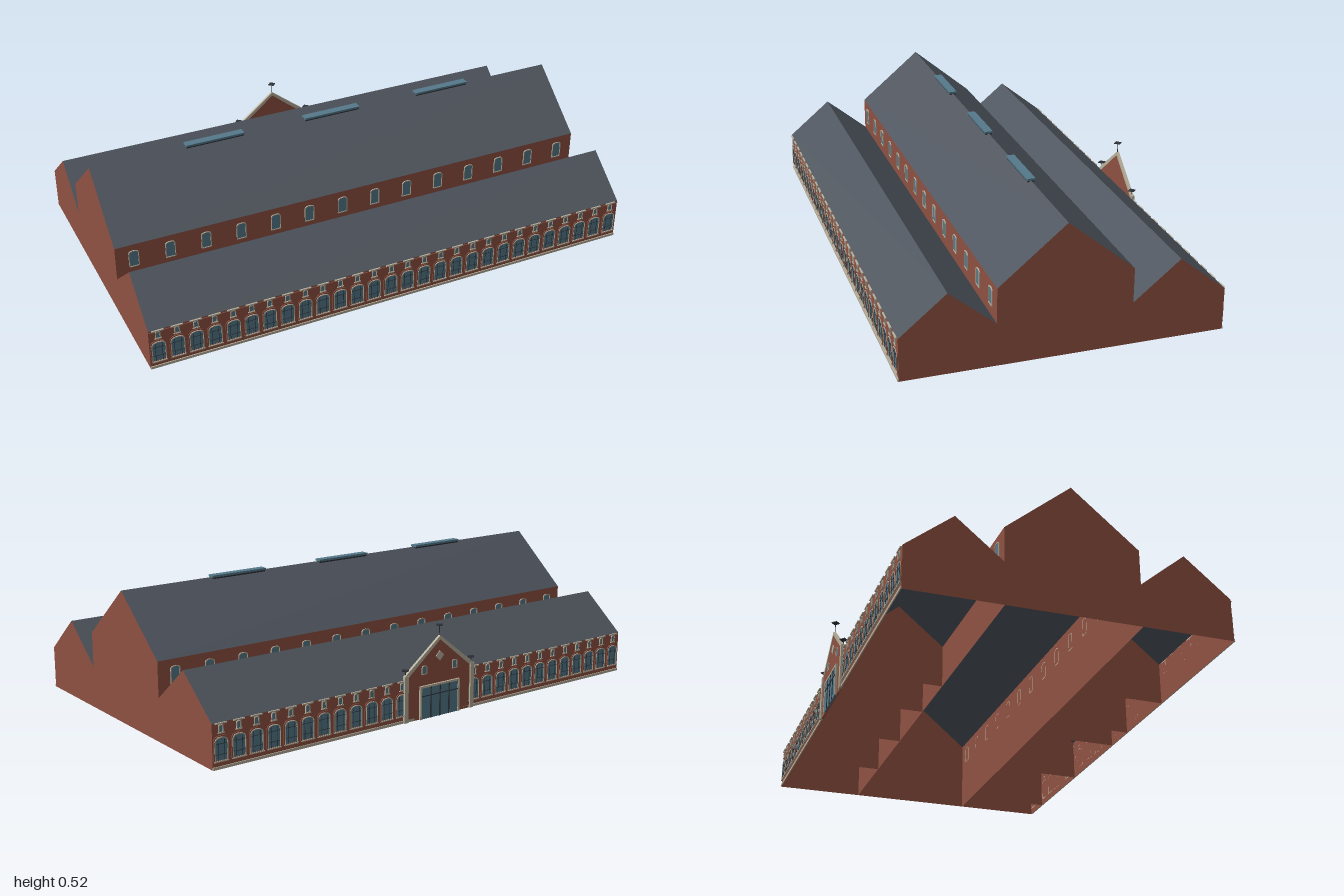
import * as THREE from 'three';
import { mergeGeometries } from 'three/addons/utils/BufferGeometryUtils.js';

const mat = (color) => new THREE.MeshStandardMaterial({ color, side: THREE.DoubleSide, flatShading: true });

// Dimensions: cross-section as [z, y], front to back
const FRONT = 0.61, BACK = -0.602, NAVE_F = 0.26, NAVE_B = -0.245, EAVE = 0.165;
const PROFILE = [
  [FRONT, EAVE], [0.435, 0.31], [NAVE_F, EAVE], [NAVE_F, 0.3], [0.007, 0.51],
  [NAVE_B, 0.3], [NAVE_B, EAVE], [-0.422, 0.31], [BACK, EAVE],
];
const BAYS = 28, PITCH = 0.0715;

export function createModel() {
  const model = new THREE.Group();
  const brick = mat(0x8f5142), slate = mat(0x50565f), stone = mat(0xb9b09c);
  const glass = mat(0x55798a), iron = mat(0x2c3036);

  const add = (parent, name, geometry, material) => {
    const mesh = new THREE.Mesh(geometry, material);
    mesh.name = name;
    parent.add(mesh);
    return mesh;
  };
  const box = (w, h, d, x, y, z) => new THREE.BoxGeometry(w, h, d).translate(x, y, z);
  const polygon = (pts) => new THREE.Shape(pts.map(([x, y]) => new THREE.Vector2(x, y)));
  const extrude = (shape, depth, x = 0, y = 0, z = 0) =>
    new THREE.ExtrudeGeometry(shape, { depth, bevelEnabled: false, curveSegments: 6 }).translate(x, y, z);

  // Flat sheet running the full length between two [z, y] points
  const sheet = ([z0, y0], [z1, y1]) => {
    const g = new THREE.PlaneGeometry(2, 1);
    const p = g.attributes.position;
    for (let i = 0; i < p.count; i++) {
      const upper = p.getY(i) > 0;
      p.setXYZ(i, p.getX(i), upper ? y1 : y0, upper ? z1 : z0);
    }
    g.computeVertexNormals();
    return g;
  };
  // Wall across the building, cut to a [z, y] outline
  const crossWall = (outline, x) =>
    new THREE.ShapeGeometry(polygon(outline.map(([z, y]) => [-z, y]))).rotateY(Math.PI / 2).translate(x, 0, 0);

  // Roof slopes
  const slopes = [[0, 1], [2, 1], [3, 4], [5, 4], [6, 7], [8, 7]];
  slopes.forEach(([a, b]) => {
    const [low, high] = [PROFILE[a], PROFILE[b]];
    add(model, 'roofSlope', low[0] > high[0] ? sheet(low, high) : sheet(high, low), slate);
  });

  // Long walls: outer ones to the eaves, nave walls to the clerestory
  add(model, 'frontWall', sheet([FRONT, 0], [FRONT, EAVE]), brick);
  add(model, 'backWall', sheet([BACK, EAVE], [BACK, 0]), brick);
  add(model, 'naveFrontWall', sheet([NAVE_F, 0], [NAVE_F, 0.3]), brick);
  add(model, 'naveBackWall', sheet([NAVE_B, 0.3], [NAVE_B, 0]), brick);

  // End walls and the partitions inside both aisles
  const endOutline = [[FRONT, 0], ...PROFILE, [BACK, 0]];
  for (const x of [-1, 1]) add(model, 'endWall', crossWall(endOutline, x), brick);
  const frontAisle = [[FRONT, 0], PROFILE[0], PROFILE[1], PROFILE[2], [NAVE_F, 0]];
  const backAisle = [[NAVE_B, 0], PROFILE[6], PROFILE[7], PROFILE[8], [BACK, 0]];
  for (const x of [0.86, 0.46, 0.05, -0.1, -0.42]) add(model, 'frontPartition', crossWall(frontAisle, x), brick);
  for (const x of [0.64, 0.29, -0.04, -0.3]) add(model, 'backPartition', crossWall(backAisle, x), brick);

  // Ridge skylights
  for (const x of [-0.5, 0, 0.5]) {
    add(model, 'skylight', box(0.24, 0.008, 0.032, x, 0.514, 0.006), glass);
    add(model, 'skylightCurb', box(0.236, 0.008, 0.026, x, 0.508, 0.006), iron);
  }

  // Arch outline: straight sides with a segmental head
  const archPath = (target, w, h, rise) => {
    target.moveTo(-w / 2, 0);
    target.lineTo(w / 2, 0);
    target.lineTo(w / 2, h - rise);
    target.quadraticCurveTo(w / 2, h, 0, h);
    target.quadraticCurveTo(-w / 2, h, -w / 2, h - rise);
    target.lineTo(-w / 2, 0);
    return target;
  };
  const archFrame = (w, h, rise, t, depth, y) => {
    const s = archPath(new THREE.Shape(), w, h, rise);
    const inner = archPath(new THREE.Shape(), w - 2 * t, h - 2 * t, rise * 0.9);
    s.holes.push(new THREE.Path(inner.getPoints(6).map((p) => p.add(new THREE.Vector2(0, t)))));
    return extrude(s, depth, 0, y);
  };
  const archPane = (w, h, rise, y) =>
    new THREE.ShapeGeometry(archPath(new THREE.Shape(), w, h, rise), 6).translate(0, y, 0.0015);

  // One bay in its own frame, facing +z
  const bay = {
    windowFrames: [stone, () => [
      archFrame(0.054, 0.086, 0.02, 0.003, 0.004, 0.028), archFrame(0.02, 0.03, 0.007, 0.003, 0.004, 0.128),
      box(0.058, 0.004, 0.006, 0, 0.028, 0.003), box(0.026, 0.003, 0.005, 0, 0.128, 0.0025)]],
    windowGlass: [glass, () => [archPane(0.05, 0.083, 0.018, 0.029), archPane(0.016, 0.026, 0.006, 0.13)]],
    glazingBars: [iron, () => [
      ...[-0.013, 0.013].map((x) => box(0.0015, 0.076, 0.002, x, 0.068, 0.002)),
      ...[0.052, 0.09].map((y) => box(0.048, 0.0015, 0.002, 0, y, 0.002))]],
    brickArches: [brick, () => [archFrame(0.062, 0.092, 0.023, 0.004, 0.003, 0.028)]],
    corniceBlocks: [stone, () => [box(0.045, 0.005, 0.006, 0, 0.1625, 0.003)]],
  };
  const buildFacade = (name, keepBay) => {
    const g = new THREE.Group();
    g.name = name;
    for (const [part, [material, make]] of Object.entries(bay)) {
      const pieces = [];
      for (let i = 0; i < BAYS; i++) {
        const x = (i - (BAYS - 1) / 2) * PITCH;
        if (!keepBay(x)) continue;
        for (const piece of make()) {
          const flat = piece.index ? piece.toNonIndexed() : piece;
          pieces.push(flat.translate(x, 0, 0));
        }
      }
      add(g, part, mergeGeometries(pieces), material);
    }
    model.add(g);
    return g;
  };
  const front = buildFacade('frontFacade', () => true);
  front.position.z = FRONT;
  add(front, 'plinth', box(2, 0.01, 0.004, 0, 0.005, 0.002), stone);
  add(front, 'eaveBand', box(2, 0.003, 0.003, 0, 0.158, 0.0015), brick);
  const back = buildFacade('backFacade', (x) => Math.abs(x) > 0.12);
  back.position.z = BACK;
  back.rotation.y = Math.PI;
  for (const s of [-1, 1]) add(back, 'plinth', box(0.88, 0.01, 0.004, s * 0.56, 0.005, 0.002), stone);

  // Entrance gable on the back: brick slab, stone coping, finials
  const portal = new THREE.Group();
  portal.name = 'entranceGable';
  back.add(portal);
  const gable = polygon([[-0.16, 0], [0.16, 0], [0.16, 0.175], [0, 0.305], [-0.16, 0.175]]);
  add(portal, 'gableWall', extrude(gable, 0.007, 0, 0, -0.003), brick);
  const copingShape = polygon([
    [-0.17, 0.17], [-0.155, 0.172], [0, 0.298], [0.155, 0.172], [0.17, 0.17], [0.17, 0.18], [0, 0.313], [-0.17, 0.18]]);
  add(portal, 'gableCoping', extrude(copingShape, 0.011, 0, 0, -0.004), stone);
  const finial = (x, y, top) => {
    add(portal, 'finialRod', box(0.002, top - y, 0.002, x, (top + y) / 2, 0), iron);
    add(portal, 'finialPlate', box(0.024, 0.003, 0.024, x, top, 0).translate(-x, 0, 0).rotateY(Math.PI / 4).translate(x, 0, 0), iron);
  };
  finial(0, 0.31, 0.353);
  for (const s of [-1, 1]) {
    add(portal, 'gablePilaster', box(0.018, 0.18, 0.012, s * 0.163, 0.09, 0.004), stone);
    finial(s * 0.163, 0.18, 0.203);
    add(portal, 'sideWindow', archPane(0.02, 0.03, 0.007, 0).translate(s * 0.075, 0.175, 0.004), glass);
    add(portal, 'sideWindowFrame', archFrame(0.025, 0.035, 0.008, 0.003, 0.007, 0).translate(s * 0.075, 0.173, 0), stone);
  }
  const medallion = new THREE.CylinderGeometry(0.02, 0.02, 0.008, 4).rotateX(Math.PI / 2).translate(0, 0.235, 0.003);
  add(portal, 'gableMedallion', medallion, stone);

  // Entrance doors with posts and lintel
  add(portal, 'gate', box(0.18, 0.122, 0.009, 0, 0.061, 0.0045), glass);
  add(portal, 'gateLintel', box(0.196, 0.008, 0.012, 0, 0.126, 0.006), stone);
  for (const s of [-1, 1]) add(portal, 'gateJamb', box(0.008, 0.122, 0.012, s * 0.094, 0.061, 0.006), stone);
  for (const x of [-0.045, 0, 0.045]) add(portal, 'gatePost', box(0.004, 0.122, 0.003, x, 0.061, 0.01), iron);
  add(portal, 'gateRail', box(0.18, 0.003, 0.003, 0, 0.09, 0.01), iron);

  // Clerestory windows on both sides of the nave
  for (const [z, turn] of [[NAVE_F, 0], [NAVE_B, Math.PI]]) {
    const row = new THREE.Group();
    row.name = 'clerestory';
    row.position.z = z;
    row.rotation.y = turn;
    for (let i = 0; i < 14; i++) {
      const x = (i - 6.5) * PITCH * 2;
      add(row, 'clerestoryFrame', archFrame(0.04, 0.07, 0.012, 0.003, 0.004, 0.205).translate(x, 0, 0), stone);
      add(row, 'clerestoryGlass', archPane(0.036, 0.066, 0.011, 0.207).translate(x, 0, 0), glass);
    }
    model.add(row);
  }
  return model;
}
